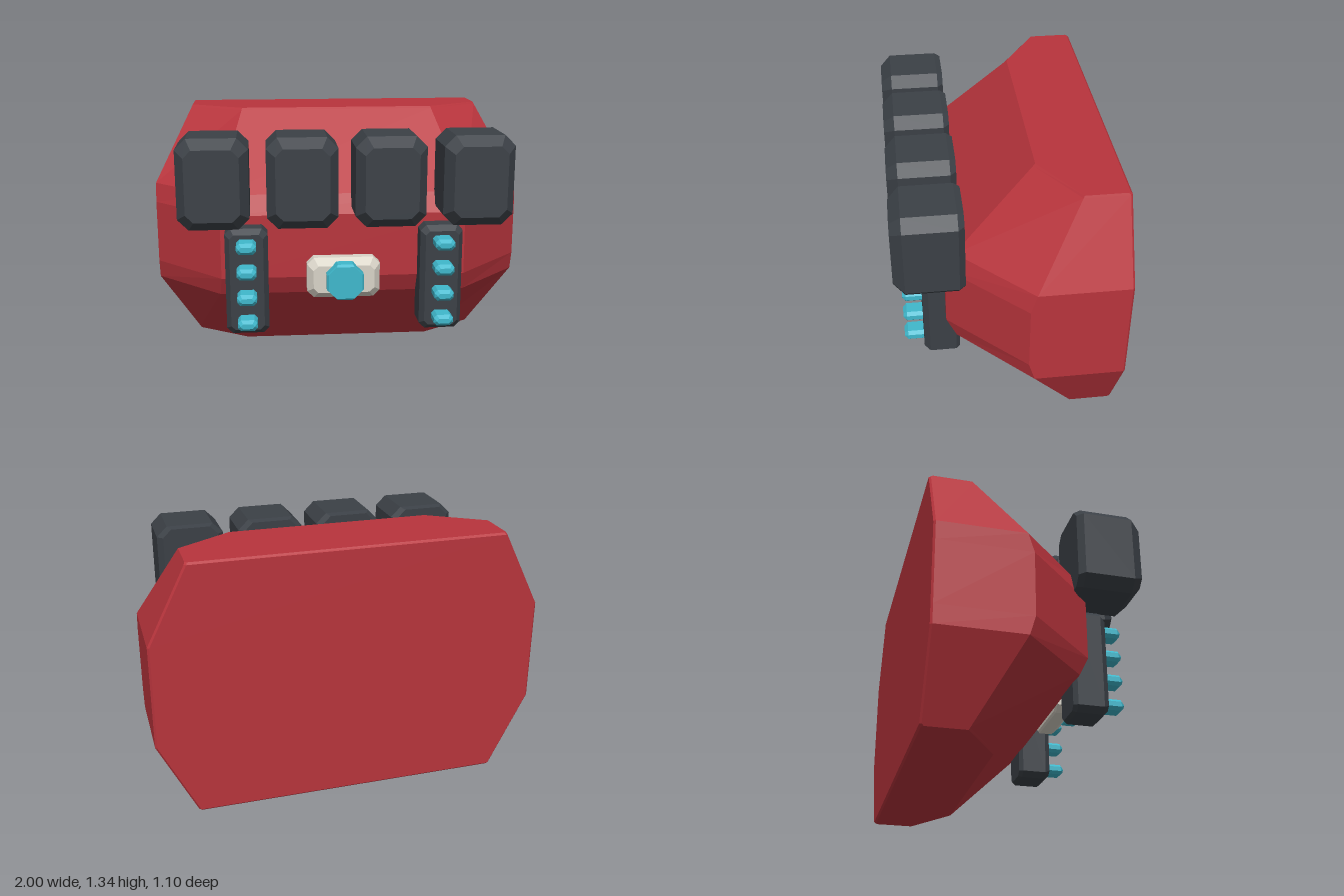
import * as THREE from 'three';

const mat = (name, color) => {
  const m = new THREE.MeshStandardMaterial({ color });
  m.name = name;
  return m;
};

// Skin a solid through rings of [x, y, z] points, counter-clockwise seen from the last ring's end
function loft(rings) {
  const pos = [];
  const tri = (a, b, c) => pos.push(...a, ...b, ...c);
  const n = rings[0].length;
  for (let r = 0; r < rings.length - 1; r++) {
    for (let i = 0; i < n; i++) {
      const j = (i + 1) % n, a = rings[r], b = rings[r + 1];
      tri(a[i], a[j], b[j]);
      tri(a[i], b[j], b[i]);
    }
  }
  const first = rings[0], last = rings[rings.length - 1];
  for (let i = 1; i < n - 1; i++) {
    tri(first[0], first[i + 1], first[i]);
    tri(last[0], last[i], last[i + 1]);
  }
  const g = new THREE.BufferGeometry();
  g.setAttribute('position', new THREE.Float32BufferAttribute(pos, 3));
  g.computeVertexNormals();
  return g;
}

// Eight-sided outline with cut corners, at depth z
const octagon = (w, h, c, z) => [
  [w, -h + c], [w, h - c], [w - c, h], [-w + c, h],
  [-w, h - c], [-w, -h + c], [-w + c, -h], [w - c, -h],
].map(([x, y]) => [x, y, z]);

// Box with cut corners, chamfered at the front (f) and the back (bx, by)
function chamferBox(w, h, d, corner, f, bx, by) {
  const x = w / 2, y = h / 2, z = d / 2;
  return loft([
    octagon(x - bx, y - by, corner * 0.8, -z),
    octagon(x, y, corner, -z + Math.max(bx, by)),
    octagon(x, y, corner, z - f),
    octagon(x - f * 0.8, y - f * 0.9, corner * 0.7, z),
  ]);
}

// Horizontal slice of the body: side width, side depth, front width, front depth
function bodySlice([y, hx, sideZ, fx, fz, back]) {
  const half = [[hx - 0.01, back], [hx, back + 0.01], [hx, sideZ], [fx, fz]];
  return [
    ...half.map(([x, z]) => [-x, y, z]),
    ...half.reverse().map(([x, z]) => [x, y, z]),
  ];
}

export function createModel() {
  const red = mat('red', 0xb8343c);
  const dark = mat('charcoal', 0x3b4046);
  const teal = mat('teal', 0x3fb8cc);
  const cream = mat('cream', 0xd8d3c7);
  const root = new THREE.Group();
  root.name = 'chestPiece';

  const add = (name, geometry, material, x, y, z) => {
    const mesh = new THREE.Mesh(geometry, material);
    mesh.name = name;
    mesh.position.set(x, y, z);
    root.add(mesh);
  };

  // Faceted body, the same above and below its middle
  const H = 1.335;
  const lower = [
    [0, 0.8, -0.33, 0.52, -0.15, -0.54],
    [0.01, 0.805, -0.324, 0.523, -0.14, -0.55],
    [0.4, 1, -0.1, 0.65, 0.25, -0.55],
    [0.5, 1, -0.07, 0.64, 0.3, -0.55],
  ];
  const upper = lower.map(([y, ...rest]) => [H - y, ...rest]).reverse();
  add('body', loft([...lower, ...upper].map(bodySlice)), red, 0, 0, 0);

  // Row of four pods
  const pod = chamferBox(0.355, 0.455, 0.34, 0.055, 0.055, 0.03, 0.01);
  for (const x of [-0.66, -0.22, 0.22, 0.66]) add('pod', pod, dark, x, 1.042, 0.38);

  // Two upright panels with four buttons each
  const panel = chamferBox(0.22, 0.56, 0.185, 0.03, 0.03, 0.02, 0.01);
  const button = chamferBox(0.1, 0.058, 0.11, 0.016, 0.018, 0.005, 0.005);
  for (const x of [-0.505, 0.5]) {
    add('panel', panel, dark, x, 0.51, 0.3225);
    for (const y of [0.31, 0.445, 0.58, 0.713]) add('button', button, teal, x, y, 0.46);
  }

  // Buckle with its eight-sided knob
  add('buckle', chamferBox(0.38, 0.215, 0.12, 0.035, 0.04, 0.01, 0.01), cream, -0.005, 0.51, 0.33);
  add('knob', chamferBox(0.19, 0.19, 0.08, 0.056, 0.012, 0.005, 0.005), teal, -0.003, 0.51, 0.415);

  return root;
}
